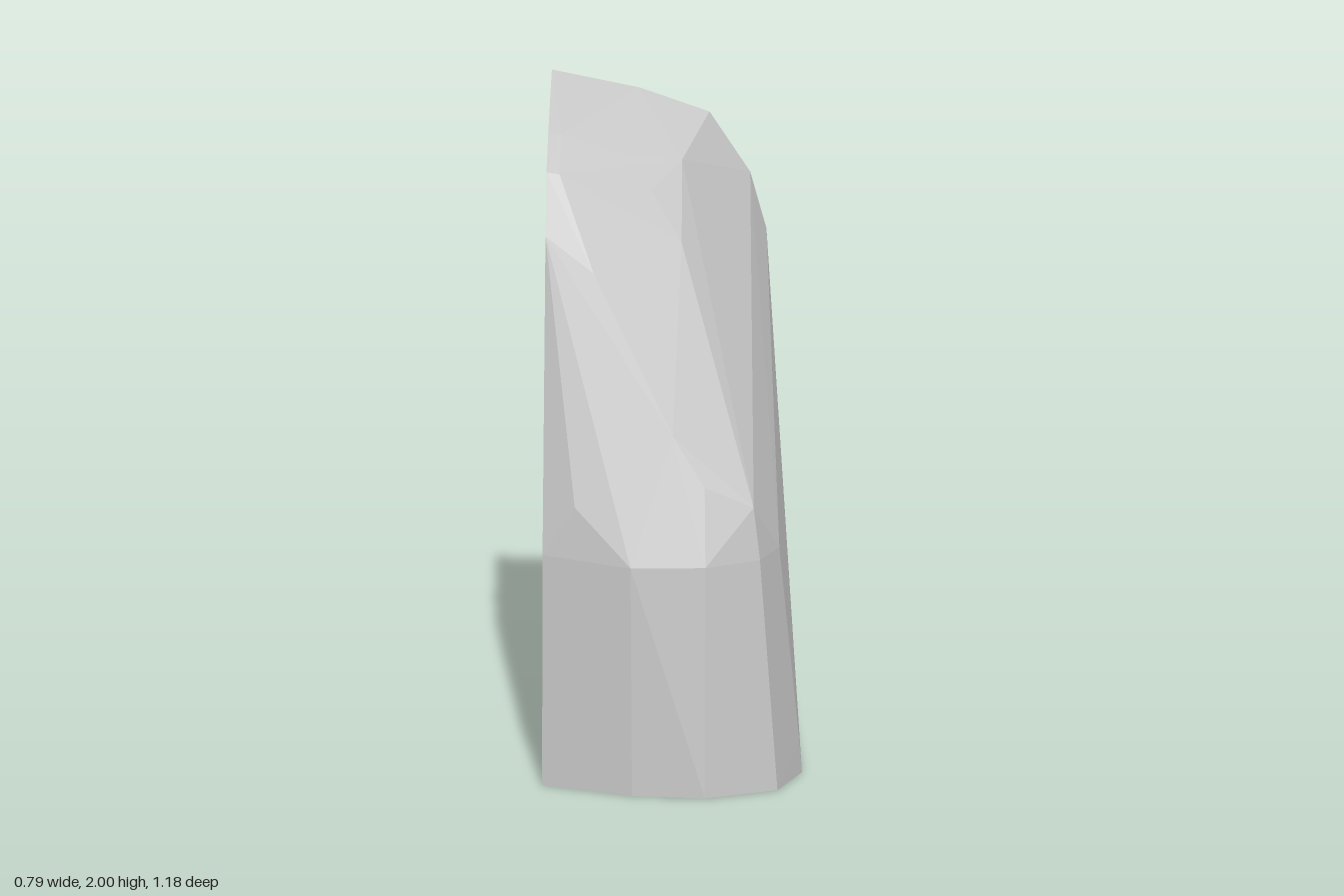
import * as THREE from 'three';
import { ConvexGeometry } from 'three/addons/geometries/ConvexGeometry.js';

export function createModel() {
  const group = new THREE.Group();
  group.name = 'rock';
  const stone = new THREE.MeshStandardMaterial({ color: 0xc8c8c8 });
  stone.name = 'paleGreyStone';

  // Outline rings of the chiselled boulder, from the ground up
  const base = [
    [0.33, 0, -0.59], [0.394, 0, 0.27], [0.325, 0, 0.485], [0.105, 0, 0.59],
    [-0.12, 0, 0.565], [-0.4, 0, 0.445], [-0.4, 0, 0.09], [-0.03, 0, -0.59],
  ];
  const waist = [
    [0.325, 0.24, -0.59], [0.386, 0.1, 0.27], [0.325, 0.72, 0.28], [0.27, 0.72, 0.44],
    [0.105, 0.72, 0.54], [-0.125, 0.72, 0.55], [-0.4, 0.72, 0.4],
  ];
  const shoulder = [
    [0.25, 0.88, 0.415], [0.1, 0.95, 0.445], [0, 1.1, 0.395], [-0.3, 0.88, 0.43],
    [-0.25, 1.55, 0.15], [-0.4, 1.65, 0.085], [0.015, 1.6, -0.04],
    [0.26, 1.5, -0.59], [-0.4, 1.59, -0.59],
  ];
  const crown = [
    [0.21, 1.68, -0.59], [0.085, 1.87, -0.59], [-0.13, 1.945, -0.59], [-0.4, 2, -0.59],
    [-0.4, 1.9, -0.2], [-0.36, 1.9, -0.2], [-0.4, 1.825, -0.02], [-0.36, 1.82, -0.02],
    [-0.15, 1.83, -0.2], [-0.08, 1.74, -0.125], [0.01, 1.8, -0.28],
  ];

  const points = [...base, ...waist, ...shoulder, ...crown].map((p) => new THREE.Vector3(...p));
  const boulder = new THREE.Mesh(new ConvexGeometry(points), stone);
  boulder.name = 'boulder';
  group.add(boulder);
  return group;
}
